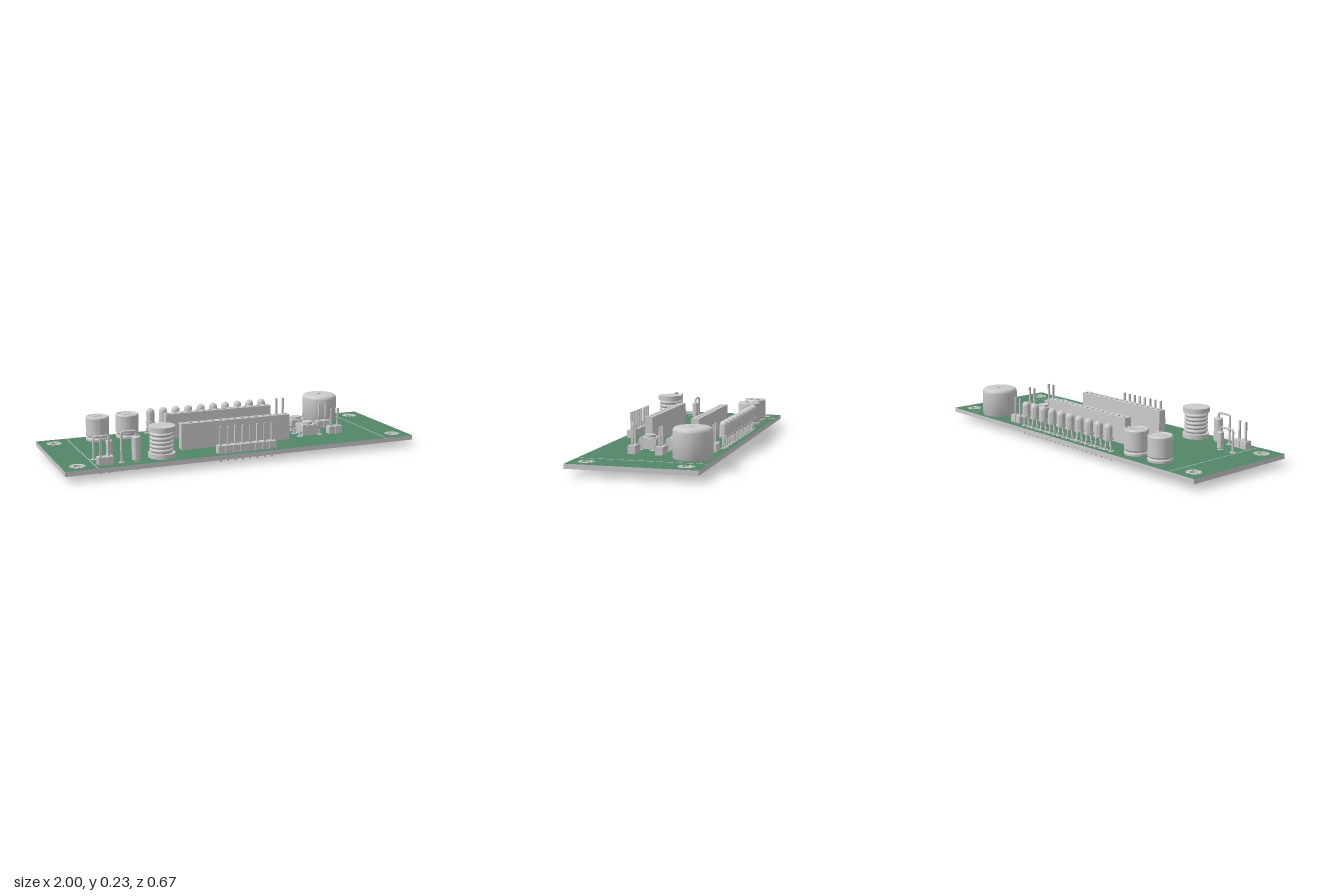
import * as THREE from 'three';
import { toCreasedNormals } from 'three/addons/utils/BufferGeometryUtils.js';

const grey = new THREE.MeshStandardMaterial({ color: 0xcccccc });
const green = new THREE.MeshStandardMaterial({ color: 0x528769 });
const TOP = 0.058, BOTTOM = 0.033, PITCH = 0.0425;

function add(parent, name, geometry, x = 0, y = 0, z = 0, material = grey) {
  const mesh = new THREE.Mesh(geometry, material);
  mesh.name = name;
  mesh.position.set(x, y, z);
  parent.add(mesh);
  return mesh;
}

function group(parent, name, x = 0, z = 0) {
  const g = new THREE.Group();
  g.name = name;
  g.position.set(x, 0, z);
  parent.add(g);
  return g;
}

// Box given by its bottom and top heights
function block(parent, name, w, d, y0, y1, x = 0, z = 0) {
  return add(parent, name, new THREE.BoxGeometry(w, y1 - y0, d), x, (y0 + y1) / 2, z);
}

function rod(parent, name, r, y0, y1, x = 0, z = 0, sides = 24) {
  return add(parent, name, new THREE.CylinderGeometry(r, r, y1 - y0, sides), x, (y0 + y1) / 2, z);
}

// Turned part with crisp edges
function turned(parent, name, points, sides = 40) {
  const g = new THREE.LatheGeometry(points.map(([r, y]) => new THREE.Vector2(r, y)), sides);
  return add(parent, name, toCreasedNormals(g, 0.6), 0, 0, 0);
}

// Solder pads above and below the board
function pads(parent, x, z, r = 0.016) {
  rod(parent, 'solderPad', r, BOTTOM - 0.001, TOP + 0.001, x, z, 16);
}

function pin(parent, x, z, top, bottom = 0.01, size = 0.01) {
  block(parent, 'pin', size, size, bottom, top, x, z);
  pads(parent, x, z);
}

function lead(parent, x, z, top, bottom = 0.01, r = 0.006) {
  rod(parent, 'lead', r, bottom, top, x, z, 10);
  pads(parent, x, z);
}

function buildBoard(parent) {
  const shape = new THREE.Shape();
  shape.moveTo(-1, -0.333).lineTo(1, -0.333).lineTo(1, 0.333).lineTo(-1, 0.333).closePath();
  const corners = [];
  for (const x of [-0.917, 0.917]) for (const z of [-0.25, 0.25]) corners.push([x, z]);
  for (const [x, z] of corners) shape.holes.push(new THREE.Path().absarc(x, z, 0.021, 0, Math.PI * 2, true));
  const g = new THREE.ExtrudeGeometry(shape, { depth: TOP - BOTTOM, bevelEnabled: false, curveSegments: 20 });
  g.rotateX(-Math.PI / 2);
  add(parent, 'board', g, 0, BOTTOM, 0, [green, grey]);
  // Plated rings with small vias around each mounting hole
  for (const [x, z] of corners) {
    const mount = group(parent, 'mountingHole', x, z);
    for (const [y, turn] of [[TOP + 0.001, -1], [BOTTOM - 0.001, 1]]) {
      const ring = new THREE.Shape().absarc(0, 0, 0.041, 0, Math.PI * 2);
      ring.holes.push(new THREE.Path().absarc(0, 0, 0.021, 0, Math.PI * 2, true));
      for (let i = 0; i < 8; i++) {
        const a = i * Math.PI / 4;
        ring.holes.push(new THREE.Path().absarc(0.032 * Math.cos(a), 0.032 * Math.sin(a), 0.004, 0, Math.PI * 2, true));
      }
      add(mount, 'platedRing', new THREE.ShapeGeometry(ring, 16).rotateX(turn * Math.PI / 2), 0, y, 0);
    }
  }
  for (const x of [-0.83, 0.83]) block(parent, 'printedLine', 0.004, 0.66, TOP, TOP + 0.001, x);
}

function pinHeader(parent, name, x, z, count) {
  const g = group(parent, name, x, z);
  for (let i = 0; i < count; i++) {
    const px = (i - (count - 1) / 2) * PITCH;
    block(g, 'headerBase', PITCH - 0.004, 0.04, TOP, 0.1, px);
    pin(g, px, 0, 0.2);
  }
  block(g, 'headerSpine', count * PITCH - 0.008, 0.03, TOP, 0.097);
}

function socketHeader(parent, z) {
  const g = group(parent, 'socketHeader', 0, z);
  const count = 15, w = count * PITCH / 2, d = 0.0215, h = 0.01;
  const s = new THREE.Shape();
  s.moveTo(-w, -d).lineTo(w, -d).lineTo(w, d).lineTo(-w, d).closePath();
  for (let i = 0; i < count; i++) {
    const x = (i - 7) * PITCH;
    s.holes.push(new THREE.Path().moveTo(x - h, -h).lineTo(x - h, h).lineTo(x + h, h).lineTo(x + h, -h).closePath());
    pin(g, x, 0, 0.09);
  }
  const body = new THREE.ExtrudeGeometry(s, { depth: 0.2 - TOP, bevelEnabled: false });
  add(g, 'socketBody', body.rotateX(-Math.PI / 2), 0, TOP, 0);
  block(g, 'socketFloor', 2 * w - 0.02, 0.03, TOP + 0.002, 0.15);
}

function capacitor(parent, x, z) {
  const g = group(parent, 'capacitor', x, z);
  turned(g, 'can', [[0, TOP], [0.06, TOP], [0.064, 0.063], [0.064, 0.075], [0.059, 0.08], [0.059, 0.084],
    [0.064, 0.09], [0.064, 0.19], [0.06, 0.195], [0.054, 0.195], [0.052, 0.192], [0, 0.192]]);
  for (const a of [0, Math.PI / 2])
    block(g, 'ventRidge', 0.08, 0.005, 0.191, 0.194).rotation.y = a + Math.PI / 4;
  for (const s of [-1, 1]) lead(g, s * 0.027, 0, 0.07);
}

function buzzer(parent, x, z) {
  const g = group(parent, 'buzzer', x, z);
  const profile = [[0, TOP], [0.096, TOP], [0.1, 0.064]];
  for (let i = 0; i <= 6; i++) {
    const a = i * Math.PI / 12;
    profile.push([0.078 + 0.022 * Math.cos(a), 0.195 + 0.022 * Math.sin(a)]);
  }
  profile.push([0.013, 0.217], [0.013, 0.195], [0, 0.195]);
  turned(g, 'buzzerCase', profile, 48);
  for (const s of [-1, 1]) lead(g, s * 0.064, 0, 0.07, 0.012, 0.007);
}

function led(parent, x, z) {
  const g = group(parent, 'lightDiode', x, z);
  const profile = [[0, 0.115], [0.027, 0.115], [0.027, 0.127], [0.023, 0.127]];
  for (let i = 0; i <= 6; i++) {
    const a = i * Math.PI / 12;
    profile.push([0.023 * Math.cos(a), 0.178 + 0.023 * Math.sin(a)]);
  }
  turned(g, 'lens', profile, 24);
  for (const s of [-1, 1]) {
    pin(g, s * PITCH / 2, 0, 0.085, 0.01, 0.009);
    block(g, 'upperLead', 0.009, 0.009, 0.08, 0.12, s * 0.017);
  }
}

function inductor(parent, x, z) {
  const g = group(parent, 'inductor', x, z);
  turned(g, 'bobbin', [[0, 0.062], [0.072, 0.062], [0.072, 0.086], [0.056, 0.086], [0.056, 0.202],
    [0.072, 0.202], [0.072, 0.228], [0, 0.228]]);
  for (let i = 0; i < 5; i++)
    add(g, 'winding', new THREE.TorusGeometry(0.055, 0.0095, 10, 40).rotateX(Math.PI / 2), 0, 0.101 + i * 0.0215, 0);
  for (const s of [-1, 1]) lead(g, s * 0.04, 0, 0.07);
}

// Upright round part whose top lead folds back down to the board
function uprightPart(parent, name, x, z, r, bodyTop, loopTop, span) {
  const g = group(parent, name, x, z);
  turned(g, 'body', [[0, 0.062], [r - 0.004, 0.062], [r, 0.067], [r, bodyTop - 0.005], [r - 0.004, bodyTop], [0, bodyTop]], 24);
  const y = loopTop - 0.006, c = 0.016;
  const path = new THREE.CurvePath();
  const v = (a, b) => new THREE.Vector3(a, b, 0);
  path.add(new THREE.LineCurve3(v(0, 0.01), v(0, y - c)));
  path.add(new THREE.QuadraticBezierCurve3(v(0, y - c), v(0, y), v(-c, y)));
  path.add(new THREE.LineCurve3(v(-c, y), v(c - span, y)));
  path.add(new THREE.QuadraticBezierCurve3(v(c - span, y), v(-span, y), v(-span, y - c)));
  path.add(new THREE.LineCurve3(v(-span, y - c), v(-span, 0.01)));
  add(g, 'foldedLead', new THREE.TubeGeometry(path, 80, 0.006, 10));
  for (const px of [0, -span]) pads(g, px, 0);
}

function button(parent, x, z) {
  const g = group(parent, 'pushButton', x, z);
  block(g, 'buttonBody', 0.096, 0.094, TOP + 0.003, 0.113);
  block(g, 'buttonPlate', 0.09, 0.088, 0.113, 0.118);
  rod(g, 'buttonCap', 0.03, 0.118, 0.131);
  for (const sx of [-1, 1]) for (const sz of [-1, 1]) {
    rod(g, 'rivet', 0.008, 0.118, 0.122, sx * 0.034, sz * 0.034, 12);
    block(g, 'clip', 0.016, 0.012, 0.075, 0.085, sx * 0.053, sz * 0.0375);
    block(g, 'leg', 0.006, 0.012, 0, 0.085, sx * 0.061, sz * 0.0375);
    pads(g, sx * 0.061, sz * 0.0375, 0.018);
  }
}

export function createModel() {
  const model = new THREE.Group();
  model.name = 'circuitBoard';
  buildBoard(model);
  for (const z of [-0.127, 0.127]) socketHeader(model, z);
  pinHeader(model, 'keyHeader', 0, 0.282, 8);
  pinHeader(model, 'powerHeader', -0.775, 0.264, 2);
  pinHeader(model, 'rearHeader', 0.453, -0.268, 2);
  for (const z of [-0.036, 0.109]) pinHeader(model, 'sideHeader', 0.62, z, 2);
  for (const z of [-0.072, 0.072]) button(model, 0.465, z);
  for (let i = 0; i < 10; i++) led(model, -0.348 + i * 0.0767, -0.291);
  for (const x of [-0.674, -0.503]) capacitor(model, x, -0.237);
  buzzer(model, 0.693, -0.22);
  inductor(model, -0.463, 0.242);
  uprightPart(model, 'tallDiode', -0.607, 0.262, 0.024, 0.19, 0.224, 0.08);
  uprightPart(model, 'shortDiode', -0.72, 0.155, 0.018, 0.155, 0.184, 0.085);
  return model;
}
